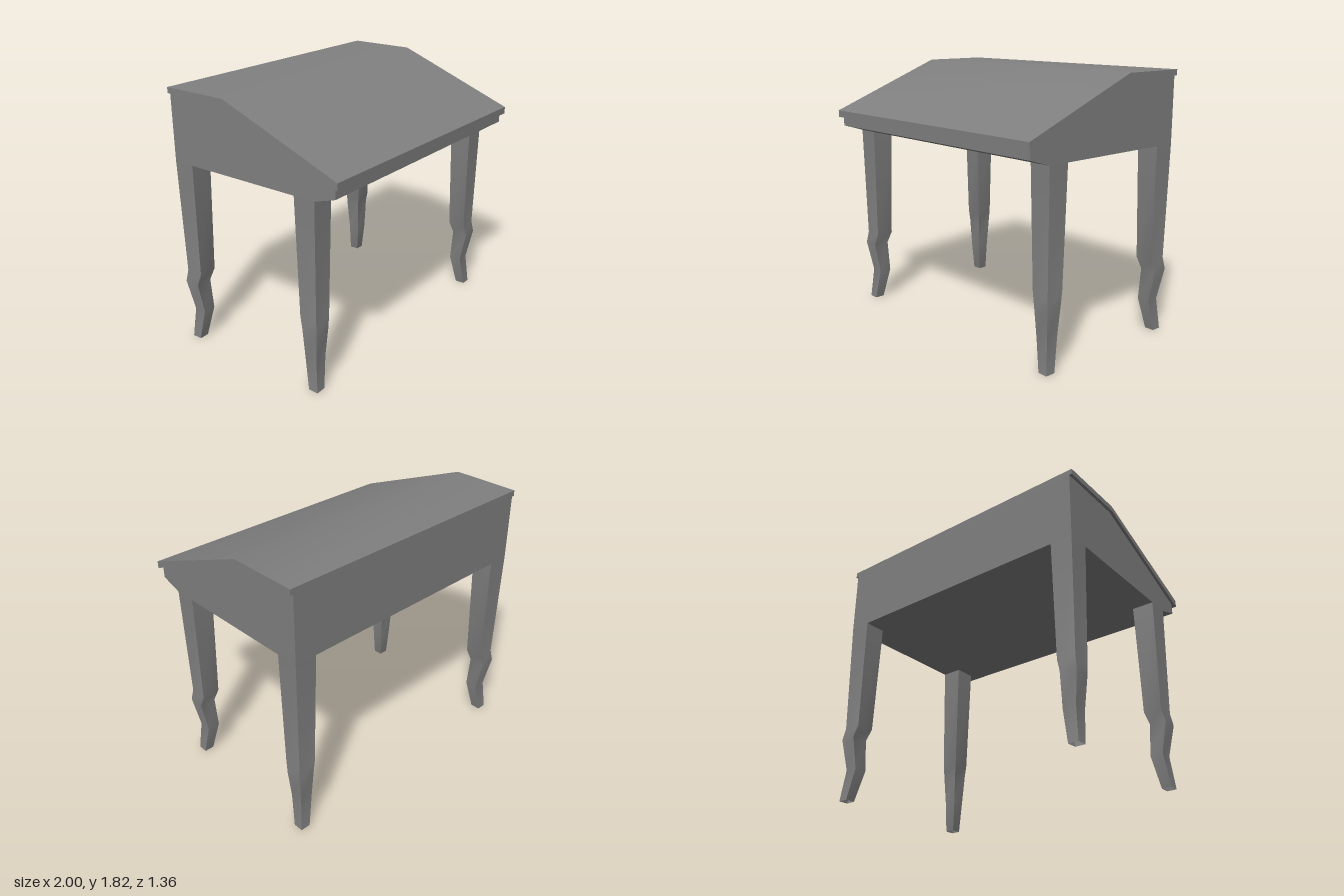
import * as THREE from 'three';
import { toCreasedNormals } from 'three/addons/utils/BufferGeometryUtils.js';

const material = new THREE.MeshStandardMaterial({ color: 0x808080, side: THREE.DoubleSide });

// Gentle bends shade smoothly, corners stay sharp
function part(name, geometry) {
  const mesh = new THREE.Mesh(toCreasedNormals(geometry, Math.PI / 6), material);
  mesh.name = name;
  return mesh;
}

// Extrudes a side profile of [z, y] points across the width, centred on x = 0
function profilePart(name, points, width) {
  const shape = new THREE.Shape(points.map(([z, y]) => new THREE.Vector2(z, y)));
  const geometry = new THREE.ExtrudeGeometry(shape, { depth: width, bevelEnabled: false });
  geometry.translate(0, 0, -width / 2).rotateY(-Math.PI / 2);
  return part(name, geometry);
}

// Leg levels from the foot up: height, then inset of outer and inner sides from the corner
const LEG_LEVELS = [
  [0, 0.014, 0.083],
  [0.22, 0.035, 0.125],
  [0.44, 0, 0.115],
  [0.525, 0.013, 0.14],
  [1.32, 0, 0.155],
];

// Curved square leg, open at the foot, below the corner (cornerX, cornerZ)
function leg(name, cornerX, cornerZ) {
  const steps = LEG_LEVELS.length - 1;
  const geometry = new THREE.CylinderGeometry(1, 1, 1, 4, steps, true, Math.PI / 4);
  const pos = geometry.attributes.position;
  const sx = Math.sign(cornerX);
  const sz = Math.sign(cornerZ);
  for (let i = 0; i < pos.count; i++) {
    const [y, outer, inner] = LEG_LEVELS[Math.round((pos.getY(i) + 0.5) * steps)];
    const x = cornerX - sx * (pos.getX(i) * sx > 0 ? outer : inner);
    const z = cornerZ - sz * (pos.getZ(i) * sz > 0 ? outer : inner);
    pos.setXYZ(i, x, y, z);
  }
  return part(name, geometry);
}

export function createModel() {
  const desk = new THREE.Group();
  desk.name = 'writingDesk';

  // Closed desk box with a chamfered front lip
  desk.add(profilePart('deskBody', [
    [-0.677, 1.32], [0.495, 1.32], [0.65, 1.368], [0.65, 1.444], [-0.19, 1.778], [-0.677, 1.778],
  ], 1.96));

  // Sloping lid with a flat back, slightly wider than the box
  desk.add(profilePart('slopedLid', [
    [0.68, 1.432], [0.68, 1.48], [-0.19, 1.817], [-0.677, 1.817], [-0.677, 1.778], [-0.19, 1.778],
  ], 2));

  // Four mirrored legs
  for (const [side, x] of [['Left', 0.98], ['Right', -0.98]]) {
    desk.add(leg(`front${side}Leg`, x, 0.495));
    desk.add(leg(`back${side}Leg`, x, -0.677));
  }
  return desk;
}
